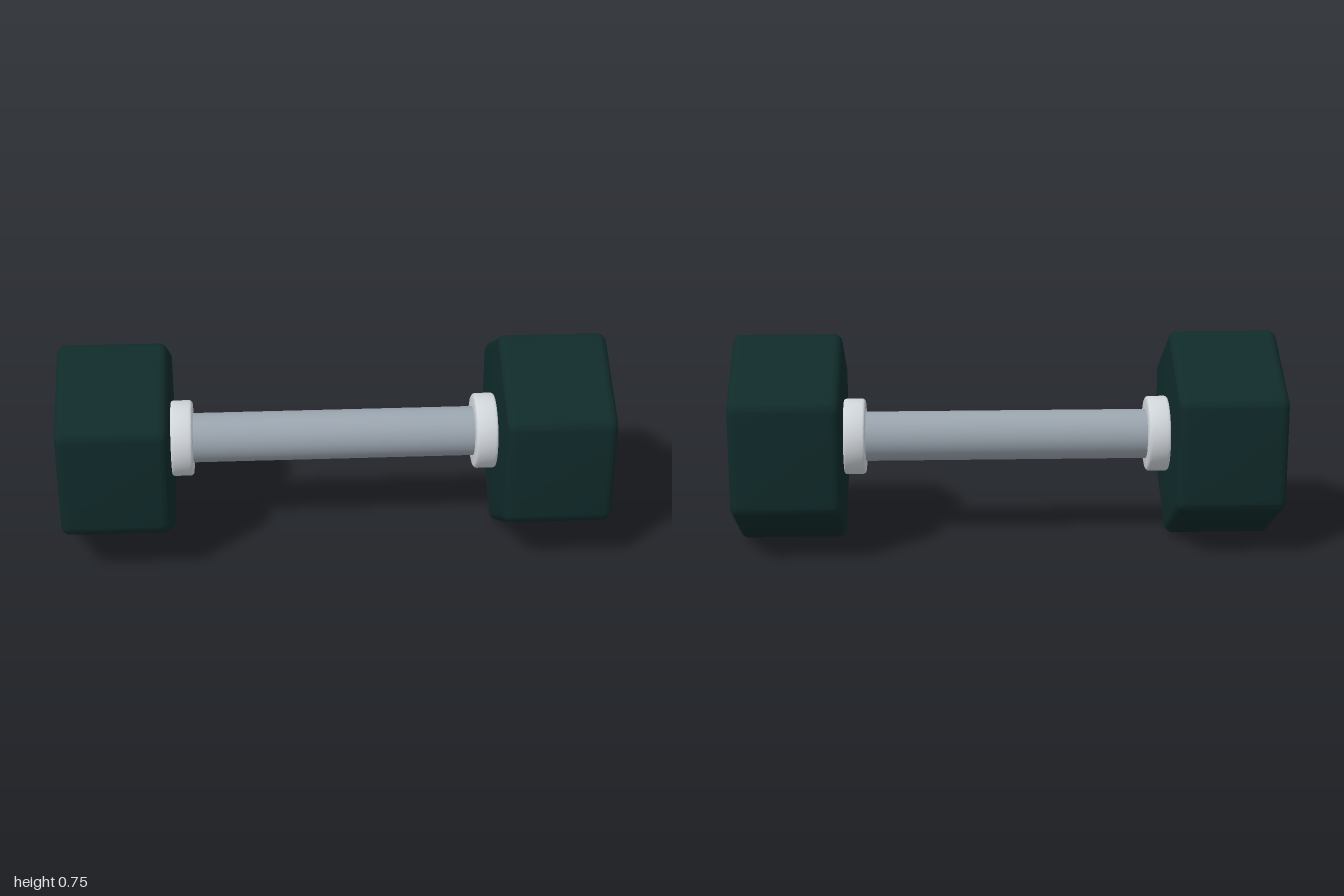
import * as THREE from 'three';
import { toCreasedNormals } from 'three/addons/utils/BufferGeometryUtils.js';

const rubber = new THREE.MeshStandardMaterial({ name: 'dark green rubber', color: 0x102a2a });
const steel = new THREE.MeshStandardMaterial({ name: 'grey steel', color: 0x9aa4ae });
const polished = new THREE.MeshStandardMaterial({ name: 'pale polished metal', color: 0xd0d5da });

const AXIS_Y = 0.375;

// Hexagonal block along x with rounded corners and bevelled edges
function hexHead(flatRadius, thickness, corner, bevel) {
  const inset = flatRadius - bevel;
  const r = corner - bevel;
  const centre = (inset - r) / Math.cos(Math.PI / 6);
  const points = [];
  const steps = 6;
  for (let k = 0; k < 6; k++) {
    const a = Math.PI / 6 + k * Math.PI / 3;
    for (let i = 0; i <= steps; i++) {
      const b = a + (i / steps - 0.5) * Math.PI / 3;
      points.push(new THREE.Vector2(
        centre * Math.cos(a) + r * Math.cos(b),
        centre * Math.sin(a) + r * Math.sin(b)));
    }
  }
  const depth = thickness - 2 * bevel;
  const geo = new THREE.ExtrudeGeometry(new THREE.Shape(points), {
    depth, bevelEnabled: true, bevelThickness: bevel, bevelSize: bevel, bevelSegments: 6,
  });
  geo.translate(0, 0, -depth / 2);
  geo.rotateY(Math.PI / 2);
  return toCreasedNormals(geo, 0.5);
}

// Solid disc along x from x0 to x1 with softened rims
function disc(radius, x0, x1, bevel) {
  const profile = [new THREE.Vector2(0, x0)];
  for (let i = 0; i <= 4; i++) {
    const a = (i / 4) * Math.PI / 2;
    profile.push(new THREE.Vector2(radius - bevel + bevel * Math.sin(a), x0 + bevel - bevel * Math.cos(a)));
  }
  for (let i = 0; i <= 4; i++) {
    const a = (i / 4) * Math.PI / 2;
    profile.push(new THREE.Vector2(radius - bevel + bevel * Math.cos(a), x1 - bevel + bevel * Math.sin(a)));
  }
  profile.push(new THREE.Vector2(0, x1));
  const geo = new THREE.LatheGeometry(profile, 64);
  geo.rotateZ(-Math.PI / 2);
  return toCreasedNormals(geo, 0.5);
}

function addMesh(parent, name, geometry, material) {
  const mesh = new THREE.Mesh(geometry, material);
  mesh.name = name;
  parent.add(mesh);
  return mesh;
}

export function createModel() {
  const model = new THREE.Group();
  model.name = 'dumbbell';

  // Whole bar is turned slightly about the vertical
  const bar = new THREE.Group();
  bar.name = 'bar';
  bar.position.y = AXIS_Y;
  bar.rotation.y = THREE.MathUtils.degToRad(8);
  model.add(bar);

  // Handle
  const handleGeo = new THREE.CylinderGeometry(0.089, 0.089, 1.12, 64, 1);
  handleGeo.rotateZ(Math.PI / 2);
  addMesh(bar, 'handle', handleGeo, steel);

  // Matching weights, collars and end caps
  const headGeo = hexHead(0.331, 0.385, 0.045, 0.03);
  headGeo.translate(0.775, 0, 0);
  const collarGeo = disc(0.136, 0.505, 0.585, 0.012);
  const capGeo = disc(0.136, 0.95, 0.984, 0.004);
  for (const side of ['left', 'right']) {
    const end = new THREE.Group();
    end.name = side + 'End';
    if (side === 'right') end.rotation.y = Math.PI;
    addMesh(end, side + 'Weight', headGeo, rubber);
    addMesh(end, side + 'Collar', collarGeo, polished);
    addMesh(end, side + 'EndCap', capGeo, polished);
    bar.add(end);
  }
  return model;
}
